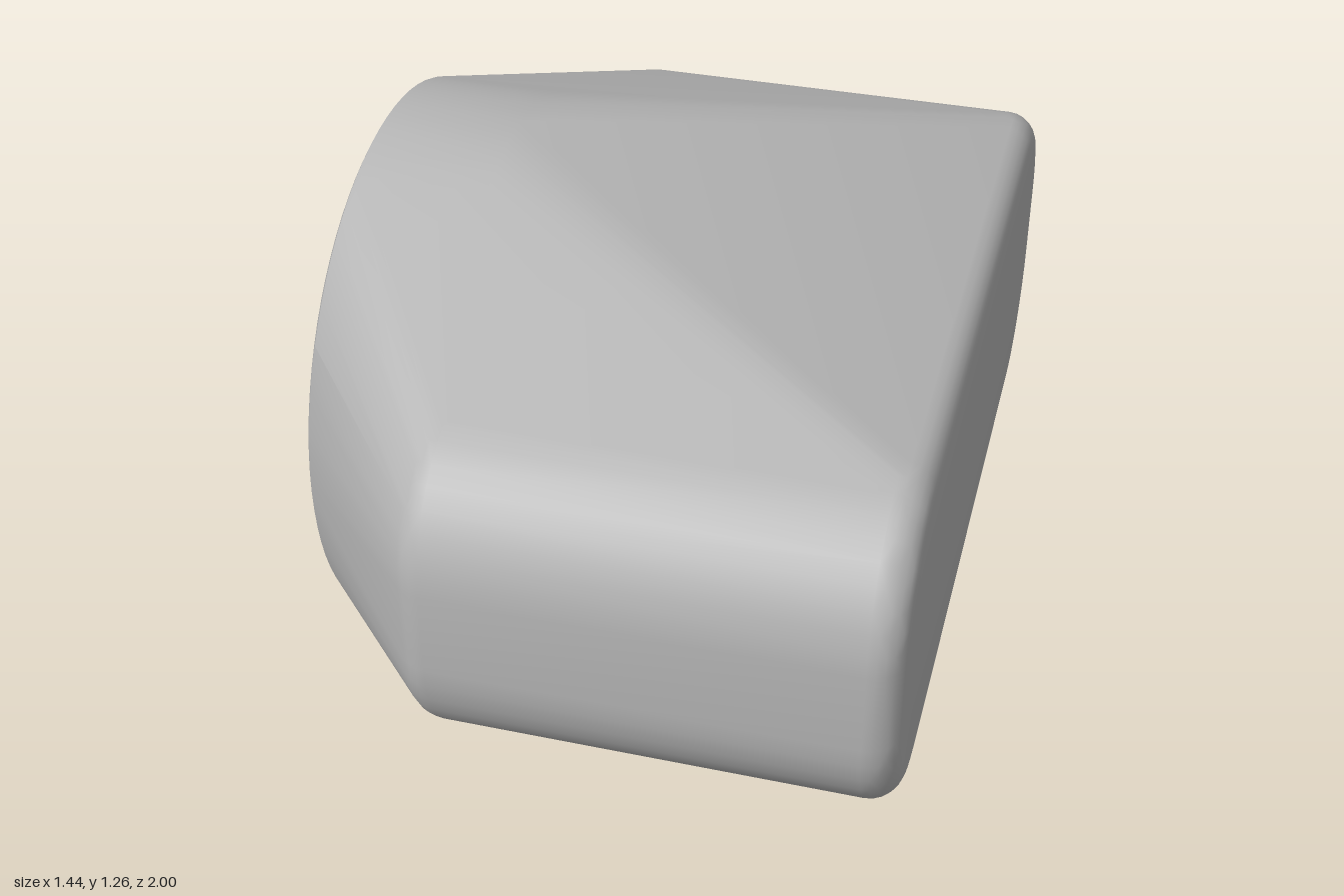
import * as THREE from 'three';
import { ConvexGeometry } from 'three/addons/geometries/ConvexGeometry.js';
import { toCreasedNormals } from 'three/addons/utils/BufferGeometryUtils.js';

const MID = 0.632; // height of the long axis

// Ring of points across x: a circle of the given radius swept round a rectangle
function ring(points, x, radius, halfZ, halfY, perQuarter) {
  for (const [sz, sy, start] of [[1, 1, 0], [-1, 1, 1], [-1, -1, 2], [1, -1, 3]]) {
    const last = halfZ > 0 ? perQuarter : perQuarter - 1;
    for (let i = 0; i <= last; i++) {
      const a = (start + i / perQuarter) * Math.PI / 2;
      points.push(new THREE.Vector3(
        x,
        MID + sy * halfY + radius * Math.sin(a),
        sz * halfZ + radius * Math.cos(a)
      ));
    }
  }
}

export function createModel() {
  const group = new THREE.Group();
  const grey = new THREE.MeshStandardMaterial({ color: 0xb4b4b4 });
  grey.name = 'grey';

  const points = [];

  // Wide rounded block, filleted at both ends
  const fillet = 0.07, steps = 6;
  for (const [x, dir] of [[0.65, 1], [-0.25, -1]]) {
    for (let i = 0; i <= steps; i++) {
      const t = (i / steps) * Math.PI / 2;
      ring(points, x + dir * fillet * Math.sin(t), 0.23 + fillet * Math.cos(t), 0.7, 0.095, 10);
    }
  }

  // Round drum that the block is stretched over, with a shallow conical end
  ring(points, -0.34, 0.632, 0, 0, 20);
  ring(points, -0.625, 0.632, 0, 0, 20);
  ring(points, -0.636, 0.628, 0, 0, 20);
  ring(points, -0.643, 0.615, 0, 0, 20);
  ring(points, -0.722, 0.06, 0, 0, 20);

  // Skin stretched around both
  const skin = toCreasedNormals(new ConvexGeometry(points), 0.36);
  const body = new THREE.Mesh(skin, grey);
  body.name = 'body';
  group.add(body);
  return group;
}
